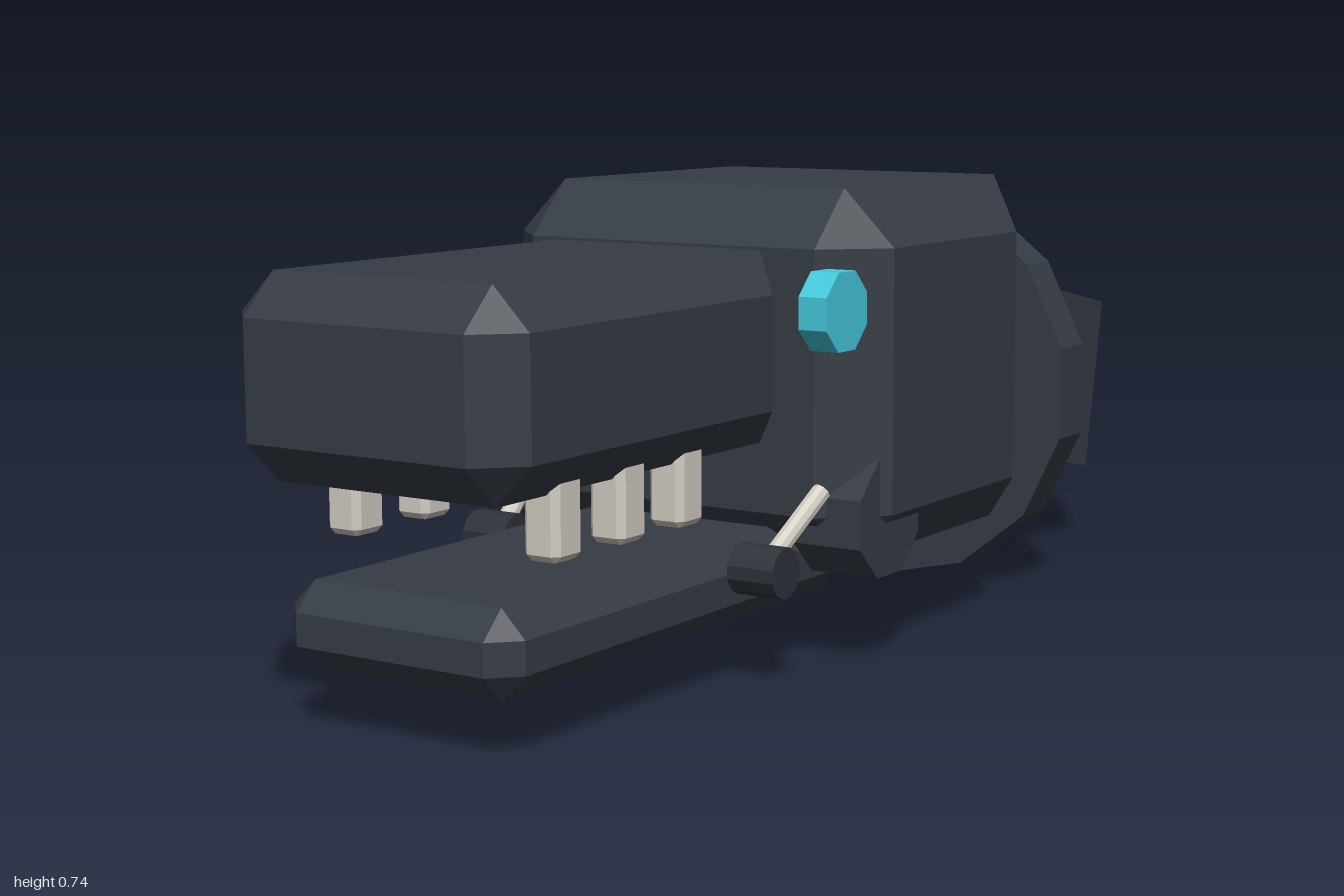
import * as THREE from 'three';
import { ConvexGeometry } from 'three/addons/geometries/ConvexGeometry.js';

// Box with chamfered edges; the top and bottom edges at the back stay square if squareBack
function chamferBox(w, h, d, c, squareBack = true) {
  const a = w / 2, b = h / 2, e = d / 2, pts = [];
  for (const sx of [-1, 1]) for (const sy of [-1, 1]) for (const sz of [-1, 1]) {
    const backY = sz < 0 && squareBack ? b : b - c;
    pts.push(
      new THREE.Vector3(sx * a, sy * (b - c), sz * (e - c)),
      new THREE.Vector3(sx * (a - c), sy * b, sz * (e - c)),
      new THREE.Vector3(sx * (a - c), sy * backY, sz * e)
    );
  }
  return new ConvexGeometry(pts);
}

// Faceted cylinder lying along x, turned so its flats face up and forward
function crossCylinder(radius, length, sides) {
  return new THREE.CylinderGeometry(radius, radius, length, sides)
    .rotateY(Math.PI / sides).rotateZ(Math.PI / 2);
}

export function createModel() {
  const model = new THREE.Group();
  model.name = 'mechanicalHead';

  const material = (name, color) => {
    const m = new THREE.MeshStandardMaterial({ color, flatShading: true });
    m.name = name;
    return m;
  };
  const armour = material('darkArmour', 0x363c44);
  const joint = material('darkJoint', 0x2e333a);
  const ivory = material('ivory', 0xd2ccc2);
  const glow = material('cyan', 0x45c8dc);

  const add = (name, geometry, mat, x, y, z) => {
    const mesh = new THREE.Mesh(geometry, mat);
    mesh.name = name;
    mesh.position.set(x, y, z);
    model.add(mesh);
    return mesh;
  };

  // Skull, snout and lower jaw
  add('skull', chamferBox(0.704, 0.585, 0.585, 0.088), armour, 0, 0.4425, -0.0275);
  add('snout', chamferBox(0.5, 0.292, 0.7, 0.06), armour, 0, 0.5, 0.65);
  add('lowerJaw', chamferBox(0.41, 0.128, 0.875, 0.04), armour, 0, 0.147, 0.5025);

  // Neck block, tilted down to the back, and its collar
  const neck = add('neck', new THREE.BoxGeometry(0.32, 0.322, 0.591), armour, 0, 0.355, -0.675);
  neck.rotation.x = -0.196;
  const collar = new THREE.CylinderGeometry(0.354, 0.354, 0.085, 14).rotateX(Math.PI / 2);
  add('collar', collar, armour, 0, 0.354, -0.4675);

  const eyeGeometry = crossCylinder(0.064, 0.048, 8);
  const hingeGeometry = crossCylinder(0.098, 0.118, 8);
  const pivotGeometry = crossCylinder(0.039, 0.08, 12);
  const toothGeometry = chamferBox(0.06, 0.12, 0.064, 0.01, false);

  for (const side of [1, -1]) {
    const label = side > 0 ? 'left' : 'right';
    add(label + 'Eye', eyeGeometry, glow, side * 0.309, 0.56, 0.285);
    add(label + 'JawHinge', hingeGeometry, armour, side * 0.279, 0.232, 0.16);

    // Jaw piston: a rod rising from the pivot into the skull
    add(label + 'PistonPivot', pivotGeometry, joint, side * 0.25, 0.178, 0.385);
    const start = new THREE.Vector3(side * 0.248, 0.178, 0.385);
    const end = new THREE.Vector3(side * 0.272, 0.28, 0.255);
    const run = end.clone().sub(start);
    const mid = start.clone().add(end).multiplyScalar(0.5);
    const rod = add(label + 'PistonRod',
      new THREE.CylinderGeometry(0.015, 0.015, run.length(), 10), ivory, mid.x, mid.y, mid.z);
    rod.quaternion.setFromUnitVectors(new THREE.Vector3(0, 1, 0), run.normalize());

    // Upper teeth
    [0.8, 0.65, 0.505].forEach((z, i) =>
      add(label + 'Tooth' + (i + 1), toothGeometry, ivory, side * 0.176, 0.32, z));
  }
  return model;
}
